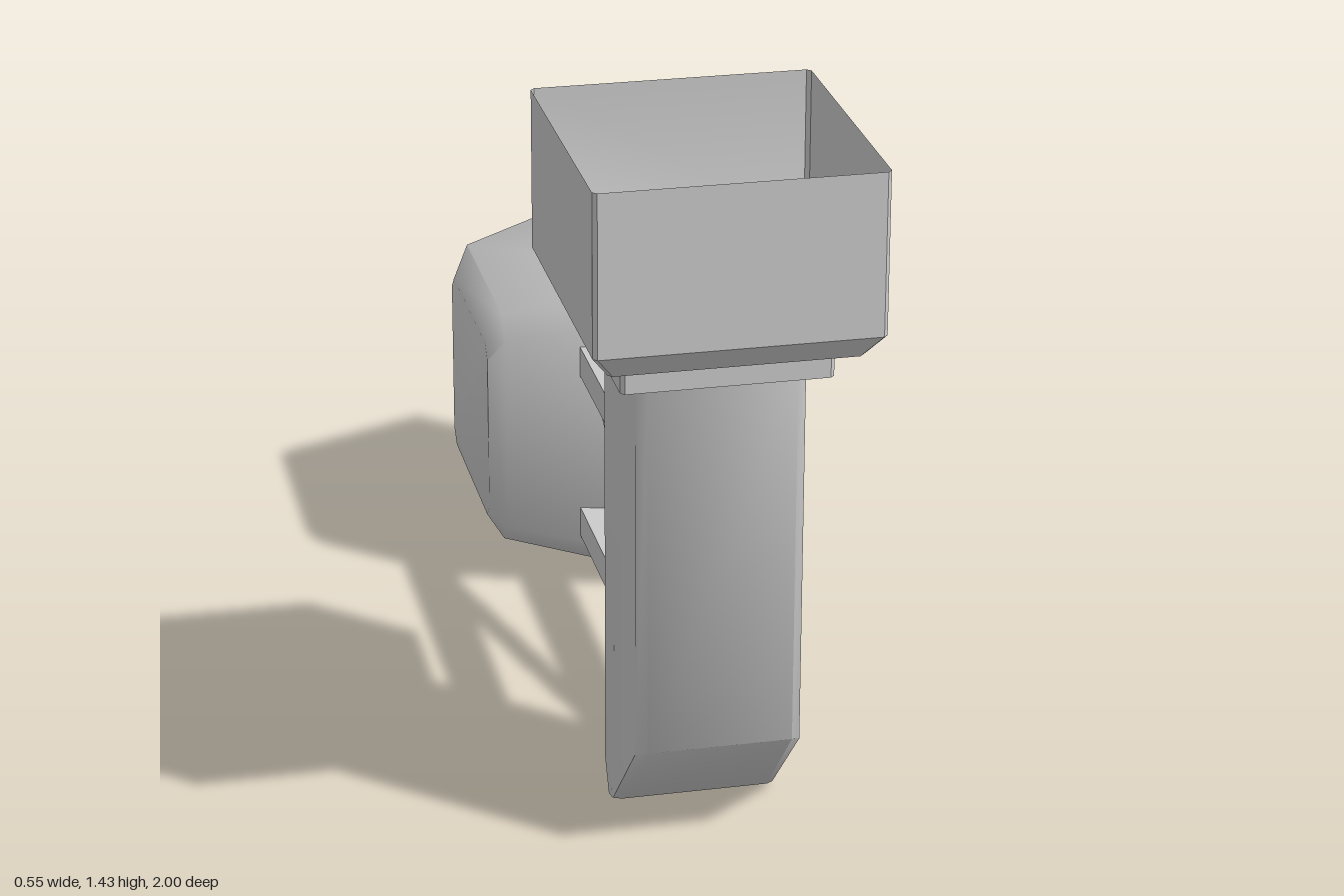
import * as THREE from 'three';
import { toCreasedNormals } from 'three/addons/utils/BufferGeometryUtils.js';

const solid = new THREE.MeshStandardMaterial({ color: 0xcccccc });
const shell = new THREE.MeshStandardMaterial({ color: 0xcccccc, side: THREE.DoubleSide });

// Rectangle with cut corners, counter-clockwise
function cutRect(u0, u1, v0, v1, c) {
  return [
    [u0 + c, v0], [u1 - c, v0], [u1, v0 + c], [u1, v1 - c],
    [u1 - c, v1], [u0 + c, v1], [u0, v1 - c], [u0, v0 + c],
  ];
}

// Skin a list of rings, optionally closing the first and last
function loft(rings, { capStart = false, capEnd = false, crease = 0.6 } = {}) {
  const n = rings[0].length;
  const index = [];
  for (let r = 0; r < rings.length - 1; r++) {
    for (let i = 0; i < n; i++) {
      const j = (i + 1) % n;
      const a = r * n + i, b = r * n + j, c = b + n, d = a + n;
      index.push(a, b, c, a, c, d);
    }
  }
  const last = (rings.length - 1) * n;
  for (let i = 1; i < n - 1; i++) {
    if (capStart) index.push(0, i + 1, i);
    if (capEnd) index.push(last, last + i, last + i + 1);
  }
  const geo = new THREE.BufferGeometry();
  geo.setAttribute('position', new THREE.Float32BufferAttribute(rings.flat(2), 3));
  geo.setIndex(index);
  return toCreasedNormals(geo, crease);
}

// Ring around the upright axis; height runs from yBack to yFront
function uprightRing(halfX, z0, z1, cut, yBack, yFront = yBack) {
  return cutRect(z0, z1, -halfX, halfX, cut).map(([z, x]) =>
    [x, yBack + (yFront - yBack) * (z - z0) / (z1 - z0), z]);
}

// Ring around the x axis
function sideRing(x, y0, y1, z0, z1, cut) {
  return cutRect(y0, y1, z0, z1, cut).map(([y, z]) => [x, y, z]);
}

export function createModel() {
  const group = new THREE.Group();
  const add = (name, geo, material = solid) => {
    const mesh = new THREE.Mesh(geo, material);
    mesh.name = name;
    group.add(mesh);
    return mesh;
  };

  // Hollow square post with a slanted foot
  add('post', loft([
    uprightRing(0.163, 0.58, 0.65, 0.015, 0, 0.02),
    uprightRing(0.163, 0.54, 0.86, 0.02, 0.055, 0.23),
    uprightRing(0.163, 0.54, 0.86, 0.02, 1.0),
  ], { capStart: true, crease: 0.95 }), shell);

  // Stepped collar
  add('collar', loft([
    uprightRing(0.163, 0.54, 0.86, 0.02, 1.0),
    uprightRing(0.203, 0.5, 0.9, 0.008, 1.0),
    uprightRing(0.203, 0.5, 0.9, 0.008, 1.066),
  ]), shell);

  // Open box on top
  add('hopper', loft([
    uprightRing(0.203, 0.5, 0.9, 0.008, 1.066),
    uprightRing(0.24, 0.44, 0.965, 0.008, 1.066),
    uprightRing(0.275, 0.41, 1.0, 0.008, 1.115),
    uprightRing(0.275, 0.41, 1.0, 0.008, 1.435),
  ]), shell);

  // Two arms, each with a chamfered mounting plate
  for (const y of [0.165, 0.547]) {
    const arm = add('arm', new THREE.BoxGeometry(0.066, 0.068, 0.9));
    arm.position.set(0.003, y, 0.05);
    const plateRing = (half, z) =>
      cutRect(-half, half, -half, half, 0.006).map(([u, v]) => [u, y + v, z]);
    add('armPlate', loft([
      plateRing(0.07, 0.475), plateRing(0.08, 0.49), plateRing(0.08, 0.55),
    ], { capStart: true, capEnd: true, crease: 0.3 }));
  }

  // Diagonal brace between the arms
  const from = new THREE.Vector3(0, 0.175, 0.43);
  const to = new THREE.Vector3(0, 0.535, -0.215);
  const brace = add('brace', new THREE.BoxGeometry(0.035, 0.034, from.distanceTo(to)));
  brace.position.copy(from).lerp(to, 0.5);
  brace.lookAt(to);

  // Tapered head with a framed, recessed face
  add('head', loft([
    sideRing(-0.222, 0.16, 0.57, -0.85, -0.4, 0.03),
    sideRing(-0.185, 0.1, 0.635, -0.9, -0.38, 0.045),
    sideRing(0.18, 0.005, 0.733, -1.0, -0.28, 0.08),
  ], { capStart: true, crease: 0.95 }));
  add('headFrame', loft([
    sideRing(0.18, 0.005, 0.733, -1.0, -0.28, 0.08),
    sideRing(0.2, 0.03, 0.708, -0.975, -0.305, 0.075),
    sideRing(0.2, 0.068, 0.67, -0.935, -0.34, 0.07),
    sideRing(0.175, 0.08, 0.655, -0.92, -0.352, 0.065),
  ], { capEnd: true, crease: 0.4 }));

  return group;
}
